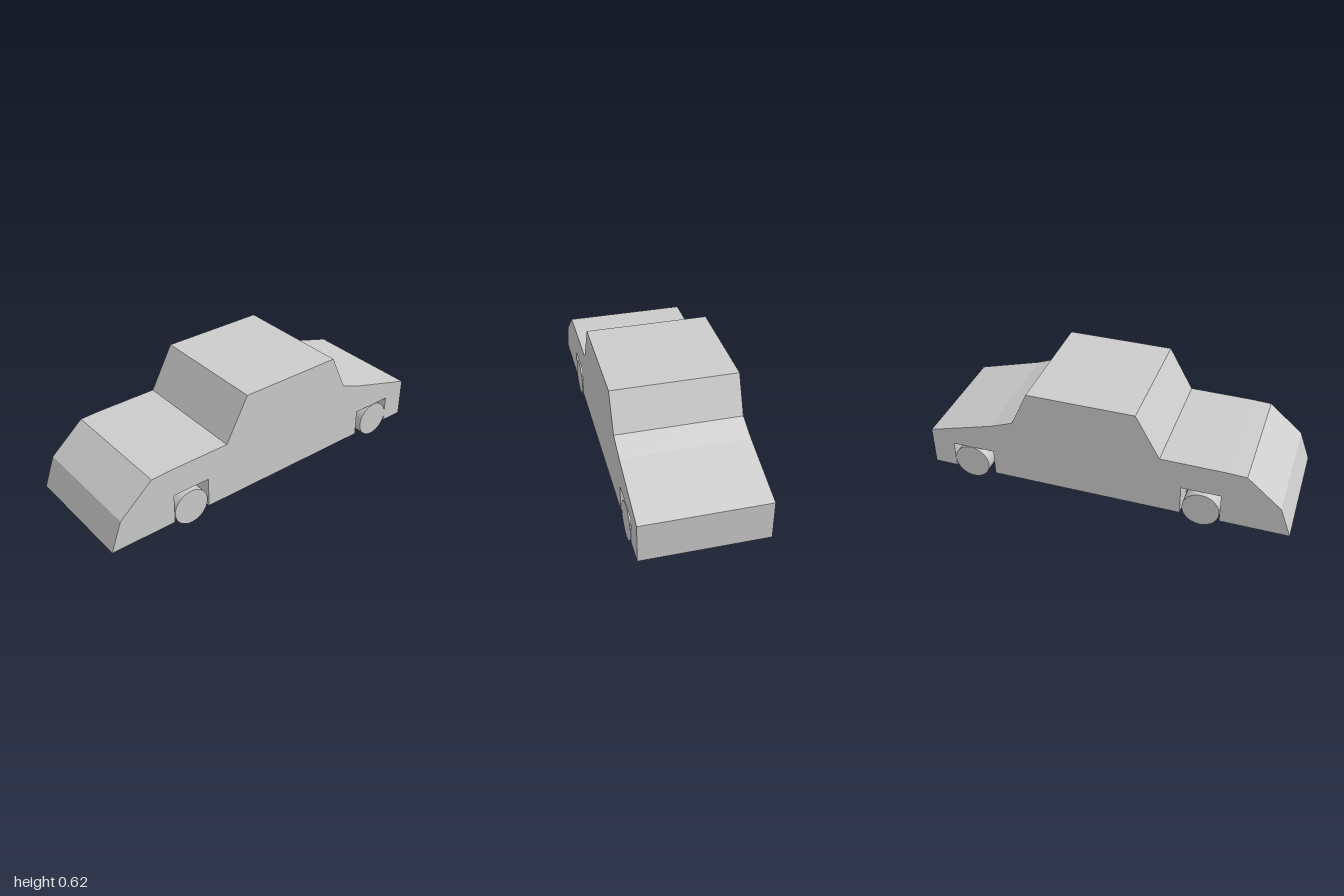
import * as THREE from 'three';

const FLOOR = 0.05;        // underside of the body
const HALF_WIDTH = 0.333;  // half the body width
const WHEEL_R = 0.1;
const WHEEL_IN = 0.197;    // inner and outer ends of each wheel
const WHEEL_OUT = 0.335;

// Axles with their square wheel arches (z from/to, top height)
const axles = [
  { name: 'front', z: 0.53, from: 0.42, to: 0.632, top: 0.22 },
  { name: 'rear', z: -0.77, from: -0.872, to: -0.635, top: 0.201 },
];

export function createModel() {
  const group = new THREE.Group();
  const material = new THREE.MeshStandardMaterial({ color: 0xcccccc });
  const add = (name, geometry) => {
    const mesh = new THREE.Mesh(geometry, material);
    mesh.name = name;
    group.add(mesh);
    return mesh;
  };

  // Side outline as (z, y), from the nose over the roof to the tail
  const outline = [
    [1, FLOOR], [0.94, 0.215], [0.755, 0.375], [0.65, 0.38], [0.302, 0.382],
    [0.172, 0.622], [-0.415, 0.622], [-0.508, 0.422], [-0.635, 0.373],
    [-1, 0.268], [-1, FLOOR],
  ];
  // Back along the floor, stepping up around each arch
  for (const { from, to, top } of [...axles].reverse()) {
    outline.push([from, FLOOR], [from, top], [to, top], [to, FLOOR]);
  }
  const shape = new THREE.Shape(outline.map(([z, y]) => new THREE.Vector2(z, y)));
  const body = new THREE.ExtrudeGeometry(shape, { depth: 2 * HALF_WIDTH, bevelEnabled: false });
  body.translate(0, 0, -HALF_WIDTH).rotateY(-Math.PI / 2);
  add('body', body);

  for (const { name, z, from, to, top } of axles) {
    // Solid floor between the left and right arches
    const filler = new THREE.BoxGeometry(2 * WHEEL_IN, top - FLOOR, to - from);
    filler.translate(0, (top + FLOOR) / 2, (from + to) / 2);
    add(name + 'ArchInnerWalls', filler);

    // Wheels, mirrored left and right
    for (const side of [1, -1]) {
      const wheel = new THREE.CylinderGeometry(WHEEL_R, WHEEL_R, WHEEL_OUT - WHEEL_IN, 32);
      wheel.rotateZ(Math.PI / 2);
      add(name + (side > 0 ? 'LeftWheel' : 'RightWheel'), wheel)
        .position.set(side * (WHEEL_IN + WHEEL_OUT) / 2, WHEEL_R, z);
    }
  }
  return group;
}
